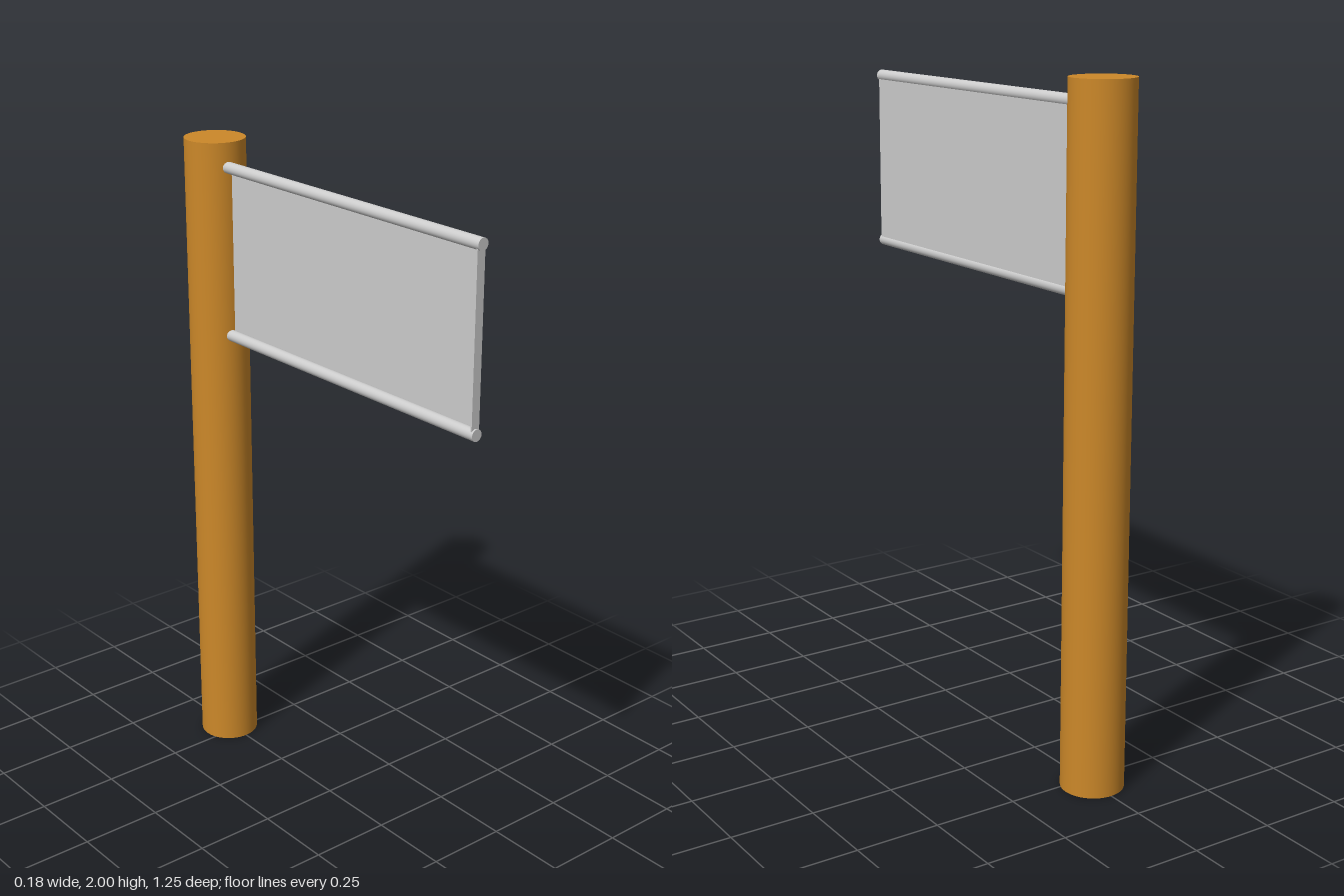
import * as THREE from 'three';

export function createModel() {
  const group = new THREE.Group();
  const wood = new THREE.MeshStandardMaterial({ color: 0xcc8829 });
  const metal = new THREE.MeshStandardMaterial({ color: 0xcccccc });

  const add = (name, geometry, material, x, y, z) => {
    const mesh = new THREE.Mesh(geometry, material);
    mesh.name = name;
    mesh.position.set(x, y, z);
    group.add(mesh);
    return mesh;
  };

  // Round wooden post
  const postZ = -0.535;
  add('post', new THREE.CylinderGeometry(0.092, 0.092, 2, 48), wood, 0, 1, postZ);

  // Horizontal rails, running from just inside the post to the free end
  const railR = 0.0175, railX = -0.0175, back = -0.46, front = 0.627;
  const lowY = 1.411, highY = 1.926, midY = (lowY + highY) / 2;
  const railGeometry = new THREE.CylinderGeometry(railR, railR, front - back, 24);
  railGeometry.rotateX(Math.PI / 2);
  add('lowerRail', railGeometry, metal, railX, lowY, (front + back) / 2);
  add('upperRail', railGeometry, metal, railX, highY, (front + back) / 2);

  // Thin panel set near the +x side of the rails
  const panelEnd = 0.621;
  add('panel', new THREE.BoxGeometry(0.004, highY - lowY, panelEnd - back), metal,
    -0.006, midY, (panelEnd + back) / 2);

  // Folded strip closing the free end
  add('endStrip', new THREE.BoxGeometry(0.027, highY - lowY, 0.004), metal,
    -0.0175, midY, panelEnd - 0.002);

  return group;
}
